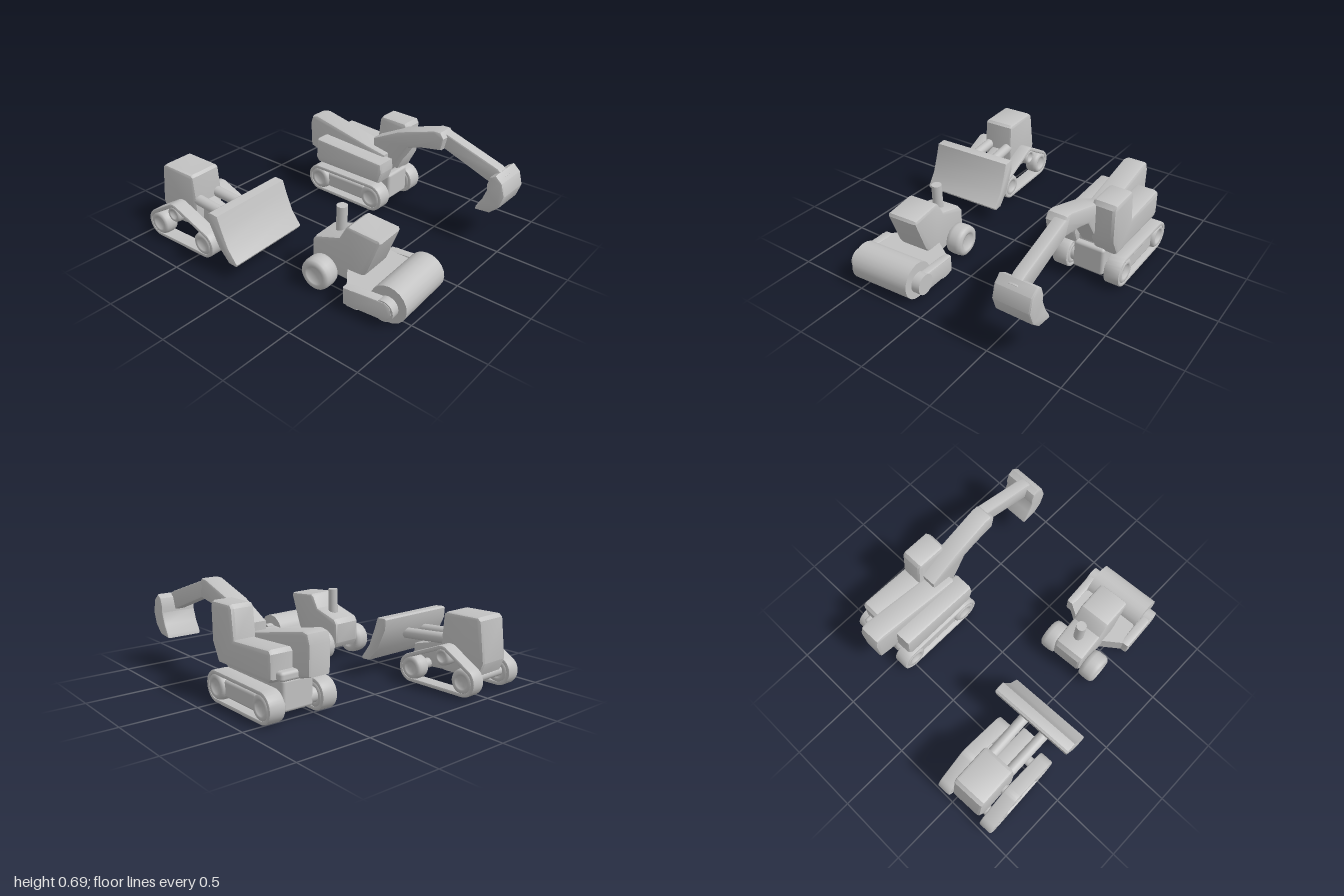
import * as THREE from 'three';
import { toCreasedNormals } from 'three/addons/utils/BufferGeometryUtils.js';
import { RoundedBoxGeometry } from 'three/addons/geometries/RoundedBoxGeometry.js';

const grey = new THREE.MeshStandardMaterial({ color: 0xc2c2c2 });
grey.name = 'light grey';

function add(parent, name, geometry) {
  const mesh = new THREE.Mesh(geometry, grey);
  mesh.name = name;
  parent.add(mesh);
  return mesh;
}

// Side profile of [z, y] points, extruded from x0 to x1 with a soft bevel
function slab(parent, name, profile, x0, x1, bevel = 0.015, hole = null) {
  const shape = new THREE.Shape(profile.map(([z, y]) => new THREE.Vector2(z, y)));
  if (hole) shape.holes.push(new THREE.Path(hole.map(([z, y]) => new THREE.Vector2(z, y))));
  const g = new THREE.ExtrudeGeometry(shape, {
    depth: x1 - x0 - 2 * bevel, bevelEnabled: true, bevelThickness: bevel,
    bevelSize: bevel, bevelOffset: -bevel, bevelSegments: 2,
  });
  g.rotateY(-Math.PI / 2).translate(x1 - bevel, 0, 0);
  return add(parent, name, toCreasedNormals(g, 0.6));
}

function box(parent, name, x0, x1, y0, y1, z0, z1, radius = 0.02) {
  const g = new RoundedBoxGeometry(x1 - x0, y1 - y0, z1 - z0, 2, radius);
  g.translate((x0 + x1) / 2, (y0 + y1) / 2, (z0 + z1) / 2);
  return add(parent, name, g);
}

// Round bar between two points
function rod(parent, name, a, b, radius) {
  const from = new THREE.Vector3(...a), to = new THREE.Vector3(...b);
  const mesh = add(parent, name, new THREE.CylinderGeometry(radius, radius, from.distanceTo(to), 20));
  mesh.position.copy(from).lerp(to, 0.5);
  mesh.quaternion.setFromUnitVectors(new THREE.Vector3(0, 1, 0), to.sub(from).normalize());
  return mesh;
}

// Wheel turning about x, rounded at the rim and dished at the hub
function wheel(parent, name, x, y, z, r, width) {
  const h = width / 2;
  const half = [[0, h * 0.65], [0.38, h * 0.65], [0.55, h * 0.95], [0.65, h], [0.8, h], [0.95, h * 0.8], [1, h * 0.4]];
  const points = [...half.map(([k, w]) => [k, -w]), ...half.reverse()]
    .map(([k, w]) => new THREE.Vector2(k * r, w));
  const g = new THREE.LatheGeometry(points, 28).rotateZ(-Math.PI / 2).translate(x, y, z);
  return add(parent, name, g);
}

// Outline of a belt stretched round [z, y, r] circles
function belt(circles, inset = 0) {
  const points = [];
  for (let i = 0; i < 64; i++) {
    const a = (i + 0.5) / 64 * Math.PI * 2, c = Math.cos(a), s = Math.sin(a);
    const reach = ([z, y, r]) => z * c + y * s + r;
    const [z, y, r] = circles.reduce((p, q) => (reach(q) > reach(p) ? q : p));
    points.push([z + (r - inset) * c, y + (r - inset) * s]);
  }
  return points;
}

function track(parent, x0, x1, circles) {
  const g = new THREE.Group();
  g.name = 'track';
  parent.add(g);
  slab(g, 'trackBelt', belt(circles), x0, x1, 0.01, belt(circles, 0.028));
  for (const [z, y, r] of circles) wheel(g, 'trackWheel', (x0 + x1) / 2, y, z, r - 0.015, x1 - x0);
}

function vehicle(parent, name, x, z, yaw) {
  const pivot = new THREE.Group();
  pivot.name = name;
  pivot.position.set(x, 0, z);
  pivot.rotation.y = yaw;
  parent.add(pivot);
  return pivot;
}

function buildExcavator(root) {
  const e = vehicle(root, 'excavator', 0, 0, 0);
  // Undercarriage
  const rollers = [[0.005, 0.11, 0.105], [-0.48, 0.11, 0.102]];
  for (const [x0, x1] of [[0.38, 0.49], [0.76, 0.87]]) {
    track(e, x0, x1, rollers);
    box(e, 'trackFrame', x0 + 0.02, x1 - 0.02, 0.055, 0.17, -0.41, -0.06);
  }
  box(e, 'chassis', 0.52, 0.74, 0.06, 0.26, -0.53, 0.08);
  for (const [z, y] of rollers) rod(e, 'axle', [0.42, y, z], [0.83, y, z], 0.05);
  // Upper body
  slab(e, 'sideHousing', [[0.07, 0.245], [0.1, 0.33], [0.09, 0.4], [-0.5, 0.43], [-0.515, 0.28], [-0.49, 0.245]], 0.385, 0.54, 0.02);
  slab(e, 'engineCover', [[0.04, 0.245], [0.04, 0.42], [-0.12, 0.45], [-0.6, 0.55], [-0.65, 0.54],
    [-0.67, 0.48], [-0.665, 0.29], [-0.56, 0.26]], 0.5, 0.66, 0.02);
  slab(e, 'cabAndDeck', [[0.05, 0.245], [0.115, 0.37], [0.12, 0.6], [0.1, 0.63], [-0.1, 0.635],
    [-0.12, 0.61], [-0.14, 0.425], [-0.5, 0.445], [-0.52, 0.42], [-0.52, 0.27], [-0.49, 0.245]], 0.65, 0.82, 0.025);
  box(e, 'rearStep', 0.63, 0.78, 0.26, 0.32, -0.57, -0.45);
  // Boom, stick and bucket
  slab(e, 'boom', [[-0.1, 0.28], [-0.1, 0.5], [0.12, 0.61], [0.41, 0.7], [0.46, 0.7], [0.49, 0.66],
    [0.47, 0.57], [0.3, 0.54], [0.2, 0.51], [0.11, 0.37], [0.04, 0.27]], 0.55, 0.685);
  slab(e, 'stick', [[0.42, 0.7], [0.88, 0.55], [0.94, 0.51], [0.93, 0.45], [0.85, 0.425], [0.46, 0.57]], 0.6, 0.685);
  slab(e, 'bucket', [[0.91, 0.535], [0.96, 0.49], [0.985, 0.4], [0.955, 0.31], [0.89, 0.25], [0.78, 0.24],
    [0.785, 0.265], [0.825, 0.33], [0.855, 0.41], [0.85, 0.45], [0.87, 0.51]], 0.53, 0.785, 0.012);
}

function buildBulldozer(root) {
  const d = vehicle(root, 'bulldozer', -0.588, -0.66, 0.038);
  // Raised-drive tracks
  const rollers = [[-0.225, 0.112, 0.1], [0.2, 0.108, 0.098], [-0.06, 0.24, 0.075]];
  for (const s of [-1, 1]) track(d, s < 0 ? -0.235 : 0.135, s < 0 ? -0.135 : 0.235, rollers);
  for (const [z, y] of rollers) rod(d, 'axle', [-0.19, y, z], [0.19, y, z], 0.035);
  // Cab and low hood
  slab(d, 'cab', [[0.03, 0.12], [0.045, 0.3], [0.03, 0.49], [0.01, 0.505], [-0.24, 0.51], [-0.265, 0.49],
    [-0.3, 0.22], [-0.27, 0.14], [-0.2, 0.1]], -0.118, 0.118, 0.02);
  slab(d, 'hood', [[0.34, 0.12], [0.33, 0.22], [0.0, 0.31], [-0.1, 0.1], [0.2, 0.08]], -0.055, 0.055);
  // Push arms and blade
  for (const s of [-1, 1]) rod(d, 'pushArm', [s * 0.08, 0.32, 0], [s * 0.085, 0.29, 0.38], 0.037);
  slab(d, 'blade', [[0.345, 0.42], [0.36, 0.43], [0.425, 0.425], [0.453, 0.34], [0.5, 0.22], [0.57, 0.125],
    [0.56, 0.108], [0.5, 0.112], [0.42, 0.2], [0.35, 0.35]], -0.285, 0.328, 0.008);
}

function buildRoller(root) {
  const r = vehicle(root, 'roadRoller', -0.385, 0.335, 0.06);
  // Rear wheels
  for (const s of [-1, 1]) wheel(r, 'rearWheel', s * 0.17, 0.117, 0, 0.108, 0.12);
  rod(r, 'rearAxle', [-0.15, 0.117, 0], [0.15, 0.117, 0], 0.045);
  // Body with cab and sloping hood
  slab(r, 'body', [[0.22, 0.08], [0.31, 0.2], [0.395, 0.43], [0.385, 0.45], [0.17, 0.468], [0.145, 0.45],
    [0.1, 0.37], [-0.08, 0.315], [-0.105, 0.28], [-0.105, 0.14], [-0.08, 0.1]], -0.11, 0.115, 0.02);
  rod(r, 'exhaust', [0.015, 0.3, 0.03], [0.015, 0.515, 0.035], 0.035);
  // Drum and its yoke
  rod(r, 'drum', [-0.215, 0.135, 0.53], [0.215, 0.135, 0.53], 0.125);
  for (const s of [-1, 1]) {
    const [x0, x1] = s < 0 ? [-0.278, -0.212] : [0.212, 0.272];
    slab(r, 'yokeArm', [[0.25, 0.05], [0.55, 0.06], [0.59, 0.1], [0.58, 0.17], [0.54, 0.19], [0.25, 0.17]], x0, x1, 0.012);
    rod(r, 'drumHub', [s * 0.2, 0.125, 0.53], [s * 0.273, 0.125, 0.53], 0.07);
  }
  const plan = new THREE.Shape([[-0.276, 0.35], [-0.276, 0.28], [-0.1, 0.16], [0.1, 0.16], [0.27, 0.28], [0.27, 0.35],
    [0.2, 0.41], [-0.2, 0.41]].map(([x, z]) => new THREE.Vector2(x, -z)));
  const yoke = new THREE.ExtrudeGeometry(plan, { depth: 0.12, bevelEnabled: false });
  yoke.rotateX(-Math.PI / 2).translate(0, 0.05, 0);
  add(r, 'yokeFrame', toCreasedNormals(yoke, 0.5));
}

export function createModel() {
  const root = new THREE.Group();
  root.name = 'constructionVehicles';
  buildExcavator(root);
  buildBulldozer(root);
  buildRoller(root);
  return root;
}
